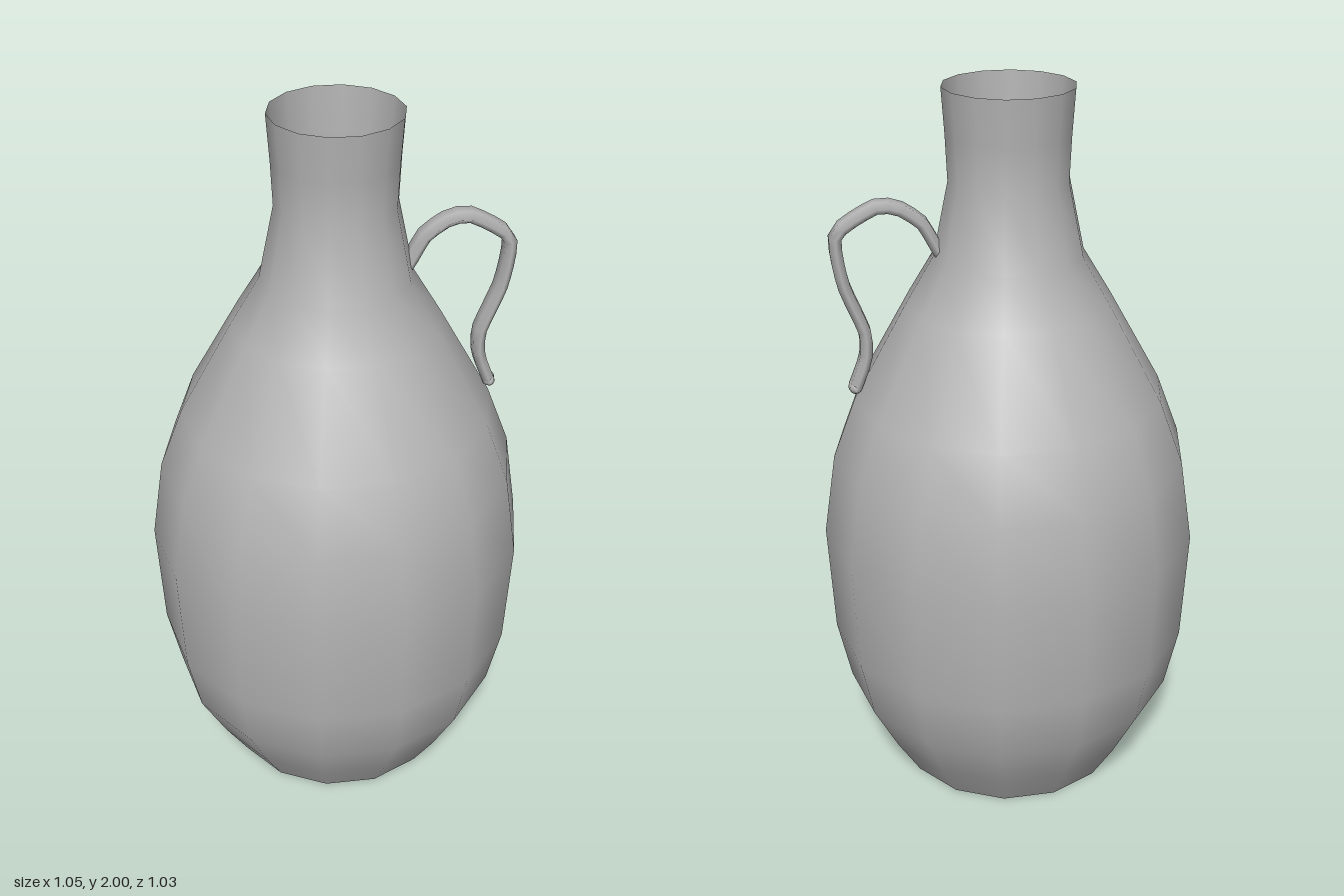
import * as THREE from 'three';

export function createModel() {
  const group = new THREE.Group();
  group.name = 'jug';
  const clay = new THREE.MeshStandardMaterial({ color: 0xb3b3b3, side: THREE.DoubleSide });
  clay.name = 'grey clay';
  const SIDES = 14;

  const add = (name, geometry) => {
    const mesh = new THREE.Mesh(geometry, clay);
    mesh.name = name;
    group.add(mesh);
    return mesh;
  };

  // Open, thin-walled body: foot, belly, shoulder and flared neck
  const profile = [
    [0.33, 0], [0.4, 0.12], [0.475, 0.27], [0.512, 0.45], [0.526, 0.77], [0.49, 1.0],
    [0.425, 1.17], [0.28, 1.43], [0.202, 1.56], [0.16, 1.76], [0.165, 1.88], [0.173, 2],
  ].map(([r, y]) => new THREE.Vector2(r, y));
  const start = Math.PI / SIDES; // a flat side faces the front
  add('body', new THREE.LatheGeometry(profile, SIDES, start));

  // Flat base, seen from below and through the mouth
  const base = new THREE.CircleGeometry(0.33, SIDES);
  base.rotateX(Math.PI / 2);
  add('base', base);

  // Flattened strap handle arching from the neck to the shoulder
  const path = new THREE.CatmullRomCurve3([
    [0.18, 1.565], [0.2, 1.6], [0.23, 1.655], [0.29, 1.697], [0.35, 1.702], [0.453, 1.635],
    [0.44, 1.5], [0.39, 1.365], [0.39, 1.29], [0.422, 1.205],
  ].map(([x, y]) => new THREE.Vector3(x, y, 0)), false, 'catmullrom', 0.3);
  const strap = new THREE.TubeGeometry(path, 24, 0.019, 6);
  strap.scale(1, 1, 1.85);
  add('handle', strap);

  // Rounded lower tip of the handle
  const tip = new THREE.SphereGeometry(0.019, 8, 6);
  tip.scale(1, 1, 1.85);
  add('handleTip', tip).position.set(0.422, 1.207, 0);

  return group;
}
